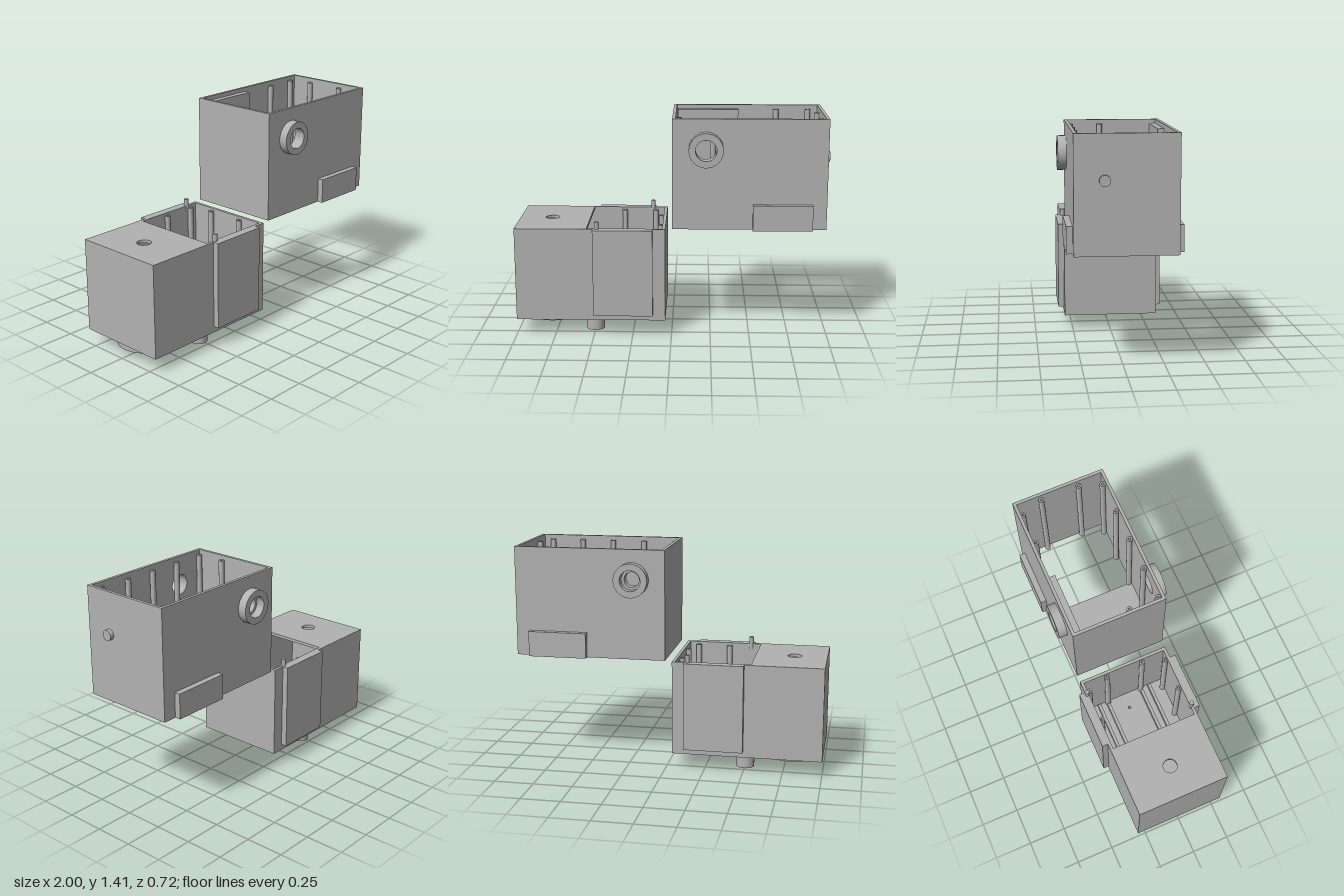
import * as THREE from 'three';
import { toCreasedNormals } from 'three/addons/utils/BufferGeometryUtils.js';

export function createModel() {
  const model = new THREE.Group();
  const grey = new THREE.MeshStandardMaterial({ color: 0xb2b2b2 });
  grey.name = 'plain grey';

  const add = (parent, name, geometry) => {
    const mesh = new THREE.Mesh(geometry, grey);
    mesh.name = name;
    parent.add(mesh);
    return mesh;
  };
  const group = (name) => {
    const g = new THREE.Group();
    g.name = name;
    model.add(g);
    return g;
  };
  // Box given by its two extreme corners
  const box = (parent, name, x0, x1, y0, y1, z0, z1) =>
    add(parent, name, new THREE.BoxGeometry(x1 - x0, y1 - y0, z1 - z0)
      .translate((x0 + x1) / 2, (y0 + y1) / 2, (z0 + z1) / 2));
  // Rectangular plate with round holes [u, v, r], extruded along local z
  const plate = (u0, u1, v0, v1, depth, holes) => {
    const s = new THREE.Shape([[u0, v0], [u1, v0], [u1, v1], [u0, v1]].map((p) => new THREE.Vector2(...p)));
    for (const [u, v, r] of holes) s.holes.push(new THREE.Path().absarc(u, v, r, 0, Math.PI * 2, true));
    return toCreasedNormals(new THREE.ExtrudeGeometry(s, { depth, bevelEnabled: false, curveSegments: 32 }), 0.6);
  };
  const wall = (parent, name, x0, x1, y0, y1, z0, z1, holes) =>
    add(parent, name, plate(x0, x1, y0, y1, z1 - z0, holes).translate(0, 0, z0));
  const deck = (parent, name, x0, x1, y0, y1, z0, z1, holes) =>
    add(parent, name, plate(x0, x1, -z1, -z0, y1 - y0, holes.map(([x, z, r]) => [x, -z, r]))
      .rotateX(-Math.PI / 2).translate(0, y0, 0));
  // Hollow cylinder standing on y = 0
  const ring = (ro, ri, h, seg = 40) => toCreasedNormals(new THREE.LatheGeometry(
    [[ro, 0], [ro, h], [ri, h], [ri, 0], [ro, 0]].map((p) => new THREE.Vector2(...p)), seg), 0.6);
  const post = (parent, x, z, y0, y1) =>
    add(parent, 'screwPost', ring(0.018, 0.008, y1 - y0, 16).translate(x, y0, z));

  const T = 0.02, Z = 0.305;

  // ---- Lower case ----
  const lower = group('lowerCase');
  const LX0 = -1, LX1 = -0.04, LY0 = 0.1, LY1 = 0.706;
  for (const s of [-1, 1]) {
    const a = s * Z, b = s * (Z - T);
    box(lower, 'sideWall', LX0, LX1, LY0, LY1, Math.min(a, b), Math.max(a, b));
    const c = s * 0.343;
    box(lower, 'sidePad', -0.5, -0.12, 0.14, LY1, Math.min(a, c), Math.max(a, c));
  }
  box(lower, 'endWall', LX0, LX0 + T, LY0, LY1, -Z + T, Z - T);
  box(lower, 'endWall', LX1 - T, LX1, LY0, LY1, -Z + T, Z - T);
  deck(lower, 'floor', LX0 + T, LX1 - T, LY0, LY0 + T, -Z + T, Z - T,
    [[-0.5, 0.165, 0.033], [-0.5, -0.165, 0.033], [-0.165, 0, 0.009]]);
  deck(lower, 'coverPlate', LX0 + T, -0.54, LY1 - T, LY1, -Z + T, Z - T, [[-0.79, 0, 0.045]]);
  // Rails, posts and foot tubes in mirrored pairs
  for (const s of [-1, 1]) {
    for (const z of [0.19, 0.127])
      box(lower, 'floorRail', -0.54, -0.07, LY0 + T, LY0 + 0.06, s * z - 0.011, s * z + 0.011);
    post(lower, -0.075, s * 0.125, LY0 + T, 0.69);
    post(lower, -0.33, s * 0.272, LY0 + T, 0.69);
    post(lower, -0.12, s * 0.272, LY0 + T, 0.69);
    add(lower, 'footTube', ring(0.058, 0.033, LY0).translate(-0.5, 0, s * 0.168));
  }
  add(lower, 'baseDisc', new THREE.CylinderGeometry(0.185, 0.185, 0.05, 64).translate(-0.79, 0.075, 0));
  for (const [x, z] of [[-0.475, 0.295], [-0.138, -0.295]])
    add(lower, 'locatingPeg', new THREE.CylinderGeometry(0.015, 0.015, 0.08, 20).translate(x, 0.712, z));

  // ---- Upper case ----
  const upper = group('upperCase');
  const UX0 = 0.004, UX1 = 0.974, UY0 = 0.71, UY1 = 1.412, PX = 0.215, PY = 1.222;
  wall(upper, 'frontWall', UX0, UX1, UY0, UY1, Z - T, Z, [[PX, PY, 0.066]]);
  wall(upper, 'backWall', UX0, UX1, UY0, UY1, -Z, -Z + T, [[PX, PY, 0.048]]);
  box(upper, 'endWall', UX0, UX0 + T, UY0, UY1, -Z + T, Z - T);
  box(upper, 'endWall', UX1 - T, UX1, UY0, UY1, -Z + T, Z - T);
  deck(upper, 'floor', UX0 + T, 0.465, UY0, UY0 + T, -Z + T, Z - T, [[PX, 0, 0.045]]);
  wall(upper, 'backingPlate', 0.03, 0.43, 0.98, 1.385, -Z + T, -0.245, [[PX, PY, 0.048]]);
  for (const s of [-1, 1]) {
    const a = s * Z, c = s * 0.343;
    box(upper, 'sidePad', 0.51, 0.885, UY0, 0.872, Math.min(a, c), Math.max(a, c));
    // Round collar about the port
    add(upper, 'portCollar', ring(0.108, 0.066, 0.055, 56)
      .rotateX(s * Math.PI / 2).translate(PX, PY, a));
  }
  const posts = [[0.68, -0.27], [0.89, -0.27], [0.937, -0.127], [0.937, 0.125], [0.89, 0.268],
    [0.68, 0.268], [0.47, 0.268], [0.257, 0.268], [0.046, 0.268], [0.042, 0.08]];
  for (const [x, z] of posts) post(upper, x, z, UY0 + 0.005, 1.385);
  add(upper, 'sideButton', new THREE.CylinderGeometry(0.033, 0.033, 0.03, 32)
    .rotateZ(Math.PI / 2).translate(0.985, 1.146, 0.128));

  return model;
}
